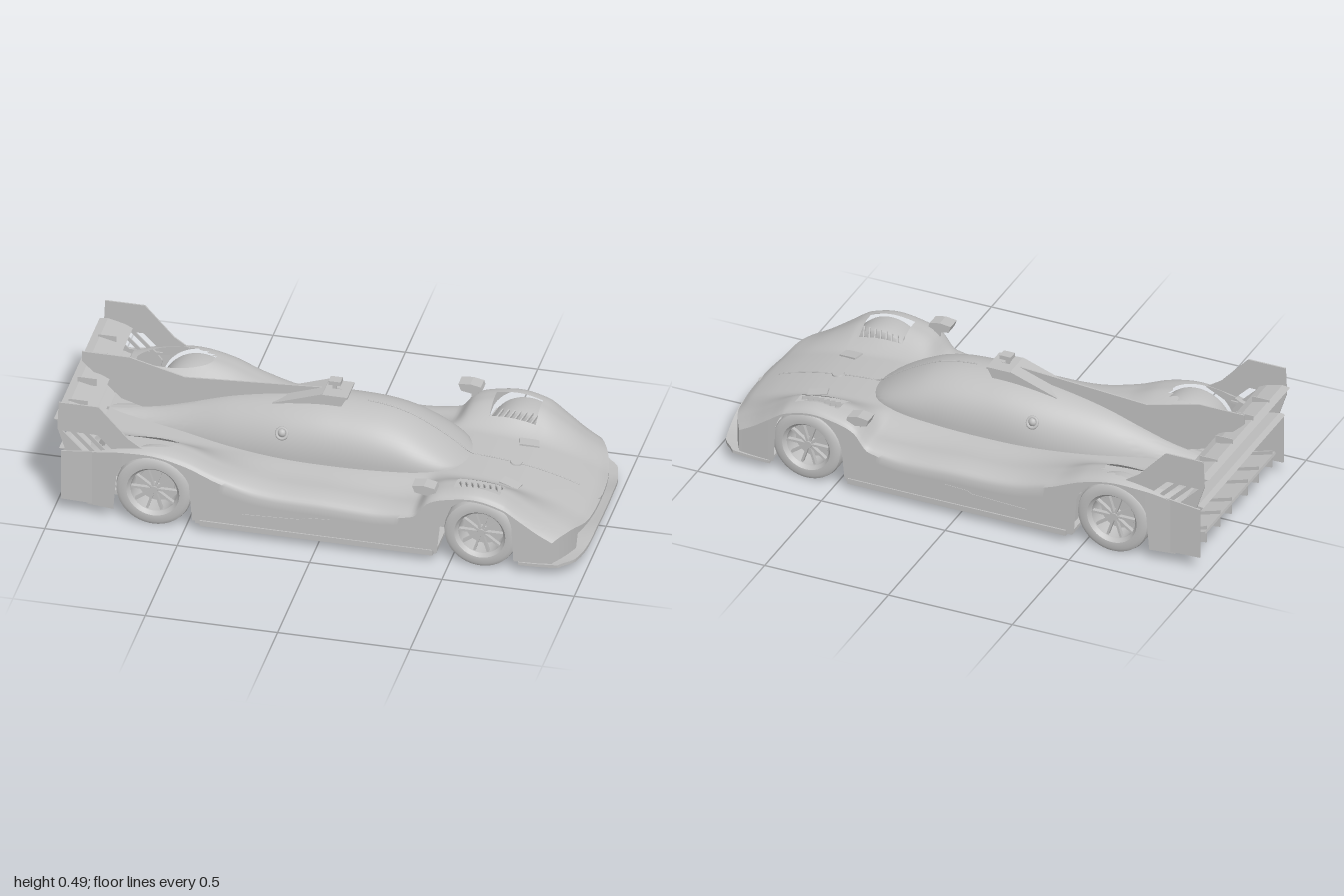
import * as THREE from 'three';
import { toCreasedNormals } from 'three/addons/utils/BufferGeometryUtils.js';

const paint = new THREE.MeshStandardMaterial({ color: 0xc0c0c0, side: THREE.DoubleSide });
paint.name = 'light grey';

// Smooth interpolation through a few [x, y] points
function curve(pts) {
  const slope = i => {
    const a = pts[Math.max(i - 1, 0)], b = pts[Math.min(i + 1, pts.length - 1)];
    return (b[1] - a[1]) / (b[0] - a[0]);
  };
  return x => {
    if (x <= pts[0][0]) return pts[0][1];
    if (x >= pts[pts.length - 1][0]) return pts[pts.length - 1][1];
    let i = 0;
    while (x > pts[i + 1][0]) i++;
    const [x0, y0] = pts[i], [x1, y1] = pts[i + 1], d = x1 - x0, t = (x - x0) / d;
    const s = t * t * (3 - 2 * t);
    return y0 + (y1 - y0) * s + d * (t * (1 - t) * (1 - t) * slope(i) - t * t * (1 - t) * slope(i + 1));
  };
}
const step = THREE.MathUtils.smoothstep;

// Surface from cross-sections: fn(i, j) gives a point, skip leaves a hole
function grid(nu, nv, fn, skip = () => false, crease = 0.6) {
  const pos = [], idx = [];
  for (let i = 0; i <= nu; i++) for (let j = 0; j <= nv; j++) pos.push(...fn(i, j));
  const at = (i, j) => i * (nv + 1) + j;
  for (let i = 0; i < nu; i++) for (let j = 0; j < nv; j++) {
    const a = at(i, j), b = at(i, j + 1), c = at(i + 1, j), d = at(i + 1, j + 1);
    const cx = (pos[a * 3] + pos[d * 3]) / 2, cz = (pos[a * 3 + 2] + pos[d * 3 + 2]) / 2;
    if (!skip(cx, Math.abs(cz), i, j)) idx.push(a, b, c, b, d, c);
  }
  const g = new THREE.BufferGeometry();
  g.setAttribute('position', new THREE.Float32BufferAttribute(pos, 3));
  g.setIndex(idx);
  return toCreasedNormals(g, crease);
}

// Body height profiles along the car
const deck = curve([[-0.87, 0.25], [-0.6, 0.235], [-0.3, 0.225], [0, 0.225], [0.3, 0.24], [0.5, 0.243],
  [0.7, 0.222], [0.85, 0.185], [0.95, 0.145], [0.98, 0.122]]);
const fender = curve([[-0.87, 0.275], [-0.75, 0.308], [-0.62, 0.32], [-0.5, 0.297], [-0.38, 0.25], [-0.2, 0.216],
  [0, 0.21], [0.36, 0.21], [0.42, 0.275], [0.5, 0.303], [0.6, 0.313], [0.7, 0.287], [0.8, 0.237], [0.9, 0.185], [0.98, 0.15]]);
const halfWidth = curve([[-0.87, 0.37], [-0.7, 0.388], [-0.4, 0.392], [0.7, 0.392], [0.98, 0.38]]);
const frontEdge = a => 0.98 - 0.1 * (a / 0.39) ** 2.6;
function bodyHeight(x, a) {
  const base = deck(x) - (x < 0.7 ? 0.02 : 0) * step(a, 0.17, 0.39);
  const flank = step(x, -0.42, -0.22) * (1 - step(x, 0.2, 0.4));
  const k = THREE.MathUtils.clamp((a - 0.33 + 0.03 * flank) / (0.062 + 0.03 * flank), 0, 1);
  const drop = (0.022 + 0.018 * flank) * (1 - Math.sqrt(1 - k * k));
  return base + (fender(x) - base) * step(a, 0.15, 0.3) - drop;
}
function sillHeight(x) {
  let y = 0.05;
  for (const cx of [-0.62, 0.615]) {
    const d = Math.abs(x - cx);
    if (d < 0.15) y = Math.max(y, 0.145 + Math.sqrt(0.15 * 0.15 - d * d));
  }
  return y;
}
// Elliptical opening over the rear wheels: below 1 is inside
const rearOpening = (x, a) => Math.hypot((x + 0.7) / 0.145, (a - 0.3) / 0.056);

// Body shell with wheel arches, open arch tops and a closed nose edge
function bodyShell() {
  const N = 148, M = 64, wall = 4;
  return grid(N + 1, M + 2 * wall, (i, j) => {
    let u = -0.87 + 1.85 * Math.min(i, N) / N;
    const w = halfWidth(u), s = THREE.MathUtils.clamp((j - wall) / M, 0, 1) * 2 - 1;
    let z = w * Math.sin(s * Math.PI / 2) * 0.35 + w * s * 0.65, a = Math.abs(z);
    const e = rearOpening(u, a);
    if (Math.abs(e - 1) < 0.14 && j > wall && j < M + wall) {
      u = -0.7 + (u + 0.7) / e;
      a = 0.3 + (a - 0.3) / e;
      z = a * Math.sign(z);
    }
    const x = u > 0.7 ? 0.7 + (u - 0.7) * (frontEdge(a) - 0.7) / 0.28 : u;
    let y = bodyHeight(u, a);
    const down = Math.max(wall - j, j - wall - M, 0) / wall;
    y += (Math.min(sillHeight(u), y - 0.008) - y) * down;
    if (i > N) y = Math.min(y, a < 0.25 ? 0.112 : 0.055);
    return [x, y, z];
  }, (x, a, i, j) => {
    if (j < wall || j >= M + wall) return false;
    return rearOpening(x, a) < 1 || (x > 0.5 && x < 0.685 && a > 0.225 && a < 0.337);
  });
}

// Canopy flowing into the engine cover
const roof = curve([[-0.87, 0.25], [-0.7, 0.275], [-0.58, 0.309], [-0.42, 0.36], [-0.25, 0.396], [-0.1, 0.415],
  [0, 0.418], [0.15, 0.41], [0.25, 0.387], [0.33, 0.35], [0.42, 0.295], [0.5, 0.235]]);
const roofWidth = curve([[-0.87, 0.04], [-0.6, 0.085], [-0.4, 0.135], [-0.2, 0.168], [0, 0.178], [0.2, 0.18],
  [0.35, 0.168], [0.45, 0.125], [0.5, 0.05]]);
function canopyShell() {
  return grid(60, 32, (i, j) => {
    const x = -0.87 + 1.37 * i / 60, t = Math.PI * j / 32, base = deck(x) - 0.02;
    const power = 1.3 - 0.55 * step(x, -0.7, 0);
    const y = base + (roof(x) - base) * Math.max(Math.sin(t), 0) ** power;
    return [x, y, -roofWidth(x) * Math.cos(t)];
  });
}

// Front splitter with a raised centre lip
function splitterGeometry() {
  const g = new THREE.BoxGeometry(1, 1, 1, 8, 1, 40), p = g.attributes.position;
  for (let i = 0; i < p.count; i++) {
    const z = p.getZ(i) * 0.78, a = Math.abs(z), t = p.getX(i) + 0.5;
    const x = 0.76 + t * (0.24 - 0.06 * (a / 0.39) ** 3 - 0.03 * step(a, 0.33, 0.39));
    p.setXYZ(i, x, 0.042 + t * t * (0.008 + 0.028 * (1 - step(a, 0.1, 0.28))) + p.getY(i) * 0.012, z);
  }
  return toCreasedNormals(g, 0.6);
}

// Flat plate cut in the x-y plane, centred on its thickness
function plate(points, thick, holes = []) {
  const v = list => list.map(q => new THREE.Vector2(...q));
  const s = new THREE.Shape(v(points));
  for (const h of holes) s.holes.push(new THREE.Path(v(h)));
  return new THREE.ExtrudeGeometry(s, { depth: thick, bevelEnabled: false }).translate(0, 0, -thick / 2);
}

function add(parent, name, geo, x = 0, y = 0, z = 0) {
  const m = new THREE.Mesh(geo, paint);
  m.name = name;
  m.position.set(x, y, z);
  parent.add(m);
  return m;
}
const box = (w, h, d) => new THREE.BoxGeometry(w, h, d);

// Wheel facing +z, with tyre, rim, ten spokes and brake disc
function wheel(r) {
  const g = new THREE.Group(), k = r / 0.143;
  g.name = 'wheel';
  const tyre = [[0.095, -0.06], [0.125, -0.062], [0.139, -0.054], [0.143, -0.04], [0.143, 0.04], [0.139, 0.054],
    [0.125, 0.062], [0.1, 0.06], [0.095, 0.052], [0.088, 0.045], [0.086, -0.05], [0.095, -0.06]];
  const lathe = new THREE.LatheGeometry(tyre.map(([a, b]) => new THREE.Vector2(a * k, b)), 48);
  add(g, 'tyre', toCreasedNormals(lathe.rotateX(Math.PI / 2), 0.7));
  add(g, 'brakeDisc', new THREE.CylinderGeometry(0.068, 0.068, 0.012, 32).rotateX(Math.PI / 2), 0, 0, -0.005);
  add(g, 'wheelBack', new THREE.CylinderGeometry(0.087 * k, 0.087 * k, 0.008, 32).rotateX(Math.PI / 2), 0, 0, -0.035);
  add(g, 'hub', new THREE.CylinderGeometry(0.014, 0.02, 0.03, 16).rotateX(Math.PI / 2), 0, 0, 0.028);
  for (let i = 0; i < 10; i++)
    add(g, 'spoke', box(0.074 * k, 0.009, 0.016).translate(0.051 * k, 0, 0.032)).rotation.z = i * Math.PI / 5;
  return g;
}

export function createModel() {
  const car = new THREE.Group();
  car.name = 'raceCar';
  add(car, 'bodyShell', bodyShell());
  add(car, 'canopyAndEngineCover', canopyShell());
  add(car, 'splitter', splitterGeometry());

  // Chassis and flat floor
  add(car, 'chassis', box(1.66, 0.12, 0.44), -0.04, 0.105, 0);
  add(car, 'sidepodCore', box(0.86, 0.1, 0.74), -0.01, 0.095, 0);
  const half = [[-0.68, 0.25], [-0.46, 0.25], [-0.46, 0.385], [0.45, 0.385], [0.45, 0.25], [0.78, 0.25]];
  const outline = [...half, ...half.map(([x, z]) => [x, -z]).reverse()];
  add(car, 'floor', plate(outline, 0.014).rotateX(Math.PI / 2), 0, 0.043, 0);

  // Roof scoop, camera and centre strip over windscreen and hood
  const scoop = plate([[0.01, 0.405], [0.035, 0.45], [-0.06, 0.45], [-0.25, 0.385], [-0.25, 0.37]], 0.012);
  for (const s of [1, -1]) add(car, 'scoopSide', scoop, 0, 0, 0.051 * s);
  add(car, 'scoopTop', box(0.095, 0.008, 0.114), -0.012, 0.446, 0);
  add(car, 'scoopSlope', box(0.2, 0.008, 0.114), -0.153, 0.416, 0).rotation.z = 0.33;
  add(car, 'scoopBack', box(0.01, 0.04, 0.1), -0.04, 0.425, 0);
  for (const s of [1, -1]) add(car, 'scoopVane', box(0.06, 0.04, 0.005), -0.01, 0.425, 0.02 * s);
  add(car, 'cameraPost', box(0.015, 0.03, 0.008), -0.025, 0.463, 0);
  add(car, 'cameraPod', box(0.045, 0.016, 0.038), -0.022, 0.481, 0);
  const strip = [];
  for (let x = 0.1; x < 0.94; x += 0.04)
    strip.push(new THREE.Vector3(x, Math.max(x < 0.5 ? roof(x) : 0, deck(x)) + 0.001, 0));
  add(car, 'centreStrip', new THREE.TubeGeometry(new THREE.CatmullRomCurve3(strip), 60, 0.0025, 6));
  add(car, 'noseButton', new THREE.CylinderGeometry(0.018, 0.018, 0.008, 20).scale(0.7, 1, 1), 0.968, 0.125, 0);
  add(car, 'hoodCap', new THREE.CylinderGeometry(0.022, 0.024, 0.008, 20), 0.66, 0.23, 0).rotation.z = -0.15;

  // Central fin and rear wings
  add(car, 'sharkFin', plate([[-0.98, 0.47], [-0.8, 0.47], [-0.59, 0.415], [0, 0.452], [0, 0.32], [-0.7, 0.25],
    [-0.83, 0.29], [-0.98, 0.43]], 0.006));
  const foil = (c, t, rise) => plate([[-c / 2, rise], [-c / 4, rise / 2 + t], [c / 4, t - rise / 3], [c / 2, -rise / 2],
    [c / 4, -rise / 2 - t / 3], [-c / 4, rise / 4]], 0.72);
  add(car, 'rearWing', foil(0.125, 0.012, 0.018), -0.9375, 0.375, 0);
  add(car, 'beamWing', foil(0.1, 0.007, 0.01), -0.93, 0.26, 0);
  add(car, 'tailPanel', box(0.02, 0.07, 0.6), -0.87, 0.2, 0);
  add(car, 'diffuser', box(0.36, 0.01, 0.62), -0.79, 0.083, 0).rotation.z = -0.27;

  const slots = [0, 1, 2].map(i => {
    const x = -0.965 + i * 0.05;
    return [[x, 0.35], [x + 0.03, 0.35], [x + 0.105, 0.275], [x + 0.075, 0.275]];
  });
  const mirror = plate([[-0.045, 0.015], [-0.035, -0.012], [0.01, -0.02], [0.045, -0.004], [0.04, 0.012],
    [0, 0.02]], 0.054);
  for (const s of [1, -1]) {
    // Wing end plates, rear fairings and diffuser strakes
    add(car, 'wingEndPlate', plate([[-0.98, 0.47], [-0.83, 0.47], [-0.72, 0.35], [-0.66, 0.31], [-0.74, 0.27],
      [-0.84, 0.255], [-0.95, 0.255], [-0.985, 0.36]], 0.006, slots), 0, 0, 0.363 * s);
    add(car, 'rearFairing', plate([[-0.97, 0.265], [-0.8, 0.285], [-0.765, 0.24], [-0.785, 0.1], [-0.82, 0.055],
      [-0.97, 0.06]], 0.008), 0, 0, 0.368 * s);
    for (const z of [0.07, 0.17, 0.29])
      add(car, 'diffuserStrake', plate([[-0.96, 0.15], [-0.96, 0.08], [-0.66, 0.04], [-0.66, 0.06]], 0.006), 0, 0, z * s);
    for (const z of [0.09, 0.23])
      add(car, 'wingStrake', box(0.07, 0.03, 0.003), -0.94, z > 0.2 ? 0.39 : 0.4, z * s);

    // Wheels
    for (const [x, r] of [[-0.62, 0.143], [0.615, 0.138]]) {
      const w = wheel(r);
      w.position.set(x, r + 0.002, 0.324 * s);
      if (s < 0) w.rotation.y = Math.PI;
      car.add(w);
      add(car, 'axle', new THREE.CylinderGeometry(0.015, 0.015, 0.1, 12).rotateX(Math.PI / 2), x, r, 0.26 * s);
    }

    // Louvre slats and liner in the front arch tops
    for (let i = 0; i < 8; i++) {
      const slat = add(car, 'archSlat', box(0.005, 0.012, 0.055), 0.513 + i * 0.0225, 0.265, 0.25 * s);
      slat.rotation.set(-0.35 * s, 0.35 * s, 0);
    }
    add(car, 'archLiner', box(0.2, 0.006, 0.06), 0.593, 0.225, 0.235 * s);

    // Mirrors, fuel port, side skirts and hood ducts
    add(car, 'mirror', mirror, 0.405, 0.305, 0.363 * s);
    add(car, 'mirrorStalk', box(0.025, 0.05, 0.01), 0.42, 0.272, 0.35 * s);
    add(car, 'sidePort', new THREE.TorusGeometry(0.02, 0.006, 8, 24), -0.19, 0.318, 0.146 * s).rotation.x = -0.5 * s;
    add(car, 'sidePortCap', new THREE.SphereGeometry(0.017, 16, 8), -0.19, 0.318, 0.14 * s);
    add(car, 'sideSkirt', box(0.88, 0.022, 0.02), 0, 0.045, 0.388 * s);
    add(car, 'sideVent', plate([[0.05, 0.13], [-0.04, 0.125], [-0.06, 0.115], [-0.28, 0.105], [-0.28, 0.07],
      [-0.05, 0.075]], 0.006), 0, 0, 0.392 * s);
    add(car, 'hoodDuct', box(0.075, 0.007, 0.045), 0.675, 0.228, 0.145 * s).rotation.set(0, -0.25 * s, -0.17);
    add(car, 'nosePillar', box(0.14, 0.06, 0.008), 0.89, 0.09, 0.03 * s);
  }
  return car;
}
